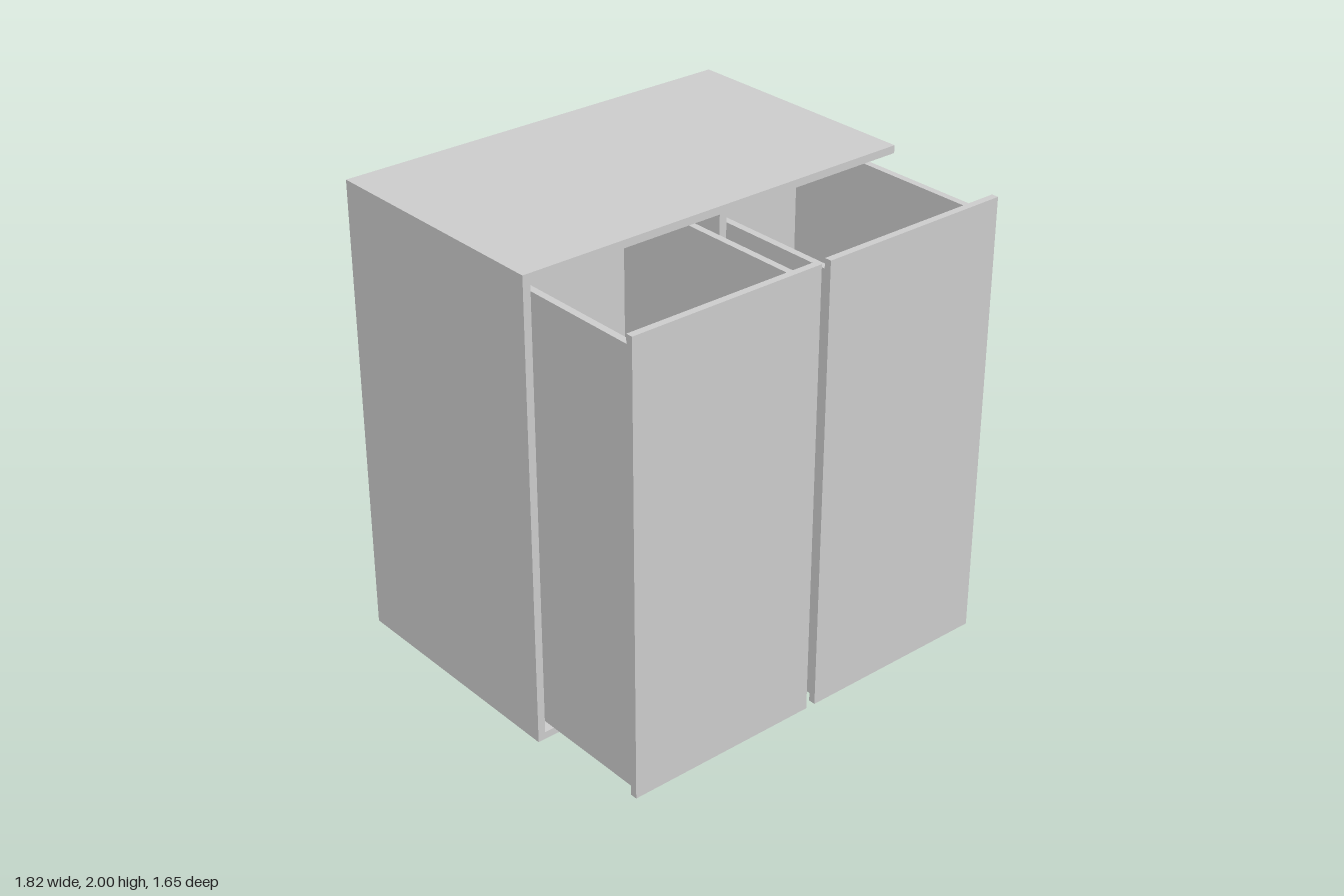
import * as THREE from 'three';

const material = new THREE.MeshStandardMaterial({ color: 0xcccccc });

// Board given by its lower and upper limits on each axis
function board(parent, name, [x0, x1], [y0, y1], [z0, z1]) {
  const mesh = new THREE.Mesh(new THREE.BoxGeometry(x1 - x0, y1 - y0, z1 - z0), material);
  mesh.position.set((x0 + x1) / 2, (y0 + y1) / 2, (z0 + z1) / 2);
  mesh.name = name;
  parent.add(mesh);
}

// Pulled-out drawer; x0 is the left edge of its front panel
function createDrawer(name, x0) {
  const drawer = new THREE.Group();
  drawer.name = name;
  const t = 0.03, frontWidth = 0.867, inset = 0.026;
  const a = x0 + inset, b = x0 + frontWidth - inset;
  const y = [0.05, 1.906], z = [-0.24, 0.795];
  board(drawer, 'drawerFront', [x0, x0 + frontWidth], [0.04, 1.965], [0.795, 0.825]);
  board(drawer, 'drawerSideRight', [a, a + t], y, z);
  board(drawer, 'drawerSideLeft', [b - t, b], y, z);
  board(drawer, 'drawerBack', [a + t, b - t], y, [z[0], z[0] + t]);
  board(drawer, 'drawerFloor', [a + t, b - t], [y[0], y[0] + t], [z[0] + t, z[1]]);
  return drawer;
}

export function createModel() {
  const model = new THREE.Group();
  model.name = 'drawerCabinet';

  // Carcass: open at the back and on the left side
  const carcass = new THREE.Group();
  carcass.name = 'carcass';
  const t = 0.033, w = 0.909, depth = [-0.825, 0.275], inner = [t, 2 - t];
  board(carcass, 'bottomPanel', [-w, w], [0, t], depth);
  board(carcass, 'topPanel', [-w, w], [2 - t, 2], depth);
  board(carcass, 'sidePanel', [-w, -w + t], inner, depth);
  board(carcass, 'divider', [0, t], inner, [-0.808, 0.275]);
  model.add(carcass);

  // Two tall drawers
  model.add(createDrawer('rightDrawer', -0.873), createDrawer('leftDrawer', 0.038));
  return model;
}
